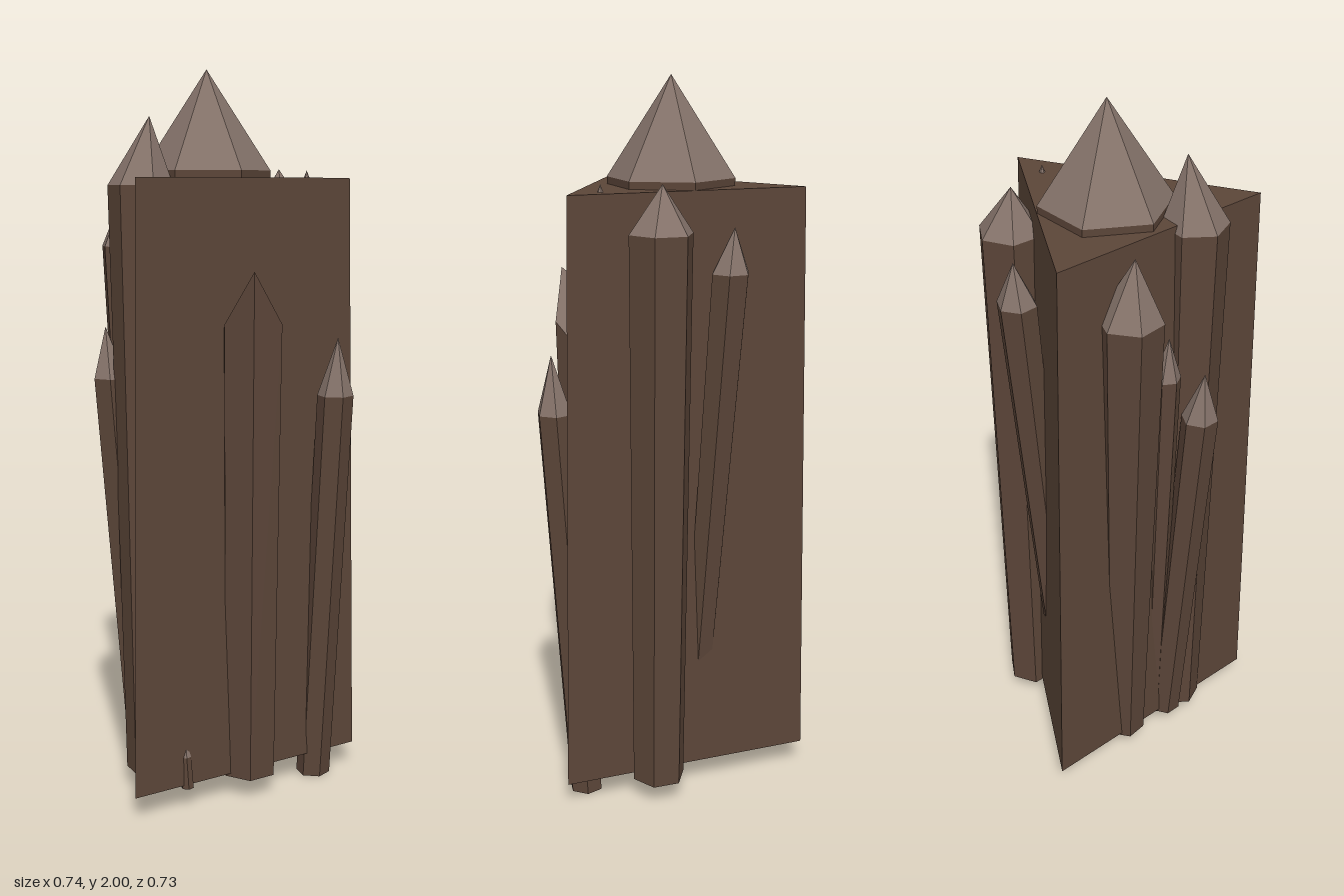
import * as THREE from 'three';

const rock = new THREE.MeshStandardMaterial({ color: 0x5c4639 });
rock.name = 'dark brown rock';
const tipStone = new THREE.MeshStandardMaterial({ color: 0x85736a });
tipStone.name = 'pale tip stone';

function flatMesh(points, material, name) {
  const geometry = new THREE.BufferGeometry().setFromPoints(points);
  geometry.computeVertexNormals();
  const mesh = new THREE.Mesh(geometry, material);
  mesh.name = name;
  return mesh;
}

// Six-sided leaning crystal: base ring, shoulder ring, pointed tip.
// lift optionally raises each shoulder corner.
function crystal({ name, base, shoulder, tip, r0, r1, turn = 0, lift = [0, 0, 0, 0, 0, 0] }) {
  const ring = (c, r, rise) => rise.map((dy, i) => {
    const a = turn + i * Math.PI / 3;
    return new THREE.Vector3(c[0] + r * Math.cos(a), c[1] + dy, c[2] + r * Math.sin(a));
  });
  const low = ring(base, r0, [0, 0, 0, 0, 0, 0]);
  const high = ring(shoulder, r1, lift);
  const foot = new THREE.Vector3(...base);
  const apex = new THREE.Vector3(...tip);
  const shaft = [];
  const cap = [];
  for (let i = 0; i < 6; i++) {
    const j = (i + 1) % 6;
    shaft.push(low[i], high[i], low[j], low[j], high[i], high[j], low[i], low[j], foot);
    cap.push(high[i], apex, high[j]);
  }
  const group = new THREE.Group();
  group.name = name;
  group.add(flatMesh(shaft, rock, 'shaft'), flatMesh(cap, tipStone, 'tip'));
  return group;
}

export function createModel() {
  const model = new THREE.Group();
  model.name = 'crystalCluster';

  // Tapered triangular pillar
  const prism = new THREE.CylinderGeometry(0.388, 0.42, 1.64, 3, 1, false, Math.PI / 2).toNonIndexed();
  prism.computeVertexNormals();
  const pillar = new THREE.Mesh(prism, rock);
  pillar.name = 'pillar';
  pillar.position.set(-0.05, 0.89, 0);
  model.add(pillar);

  const crystals = [
    { name: 'mainCrystal', base: [-0.05, 0.055, 0], shoulder: [-0.055, 1.73, -0.023], tip: [-0.055, 2, -0.023],
      r0: 0.13, r1: 0.176 },
    { name: 'leftFrontCrystal', base: [-0.225, 0.06, 0.13], shoulder: [-0.235, 1.69, 0.115], tip: [-0.21, 1.87, 0.105],
      r0: 0.065, r1: 0.088, turn: 0.1 },
    // Chisel-topped crystal on the front face
    { name: 'frontCrystal', base: [0.055, 0.06, 0.165], shoulder: [0.06, 1.3, 0.19], tip: [0.055, 1.42, 0.18],
      r0: 0.078, r1: 0.088, turn: Math.PI / 6, lift: [0.03, 0.17, 0.03, -0.03, -0.02, -0.04] },
    { name: 'rightSmallCrystal', base: [0.25, 0, 0.04], shoulder: [0.295, 1.12, 0.095], tip: [0.3, 1.28, 0.1],
      r0: 0.048, r1: 0.05, turn: 0.2 },
    { name: 'leftSmallCrystal', base: [-0.245, 0.06, 0.06], shoulder: [-0.323, 1.17, 0.075], tip: [-0.335, 1.31, 0.075],
      r0: 0.045, r1: 0.05, turn: 0.5 },
    { name: 'leftBackCrystal', base: [-0.225, 0.06, -0.09], shoulder: [-0.272, 1.52, -0.13], tip: [-0.28, 1.69, -0.125],
      r0: 0.06, r1: 0.086, turn: 0.4 },
    { name: 'leftSliverCrystal', base: [-0.225, 0.06, 0.02], shoulder: [-0.27, 1.3, 0], tip: [-0.275, 1.42, 0],
      r0: 0.03, r1: 0.038 },
    { name: 'backCrystal', base: [0.15, 0.06, -0.15], shoulder: [0.162, 1.61, -0.165], tip: [0.155, 1.735, -0.163],
      r0: 0.075, r1: 0.088, turn: 0.55 },
    { name: 'backSmallCrystal', base: [-0.01, 0.2, -0.155], shoulder: [0.003, 1.5, -0.27], tip: [0, 1.62, -0.28],
      r0: 0.04, r1: 0.054, turn: 0.45 },
    { name: 'frontNub', base: [-0.12, 0.06, 0.275], shoulder: [-0.125, 0.15, 0.275], tip: [-0.125, 0.2, 0.275],
      r0: 0.018, r1: 0.016, turn: 0.3 },
    { name: 'topNub', base: [0.22, 1.5, -0.01], shoulder: [0.22, 1.7, -0.01], tip: [0.22, 1.73, -0.01],
      r0: 0.012, r1: 0.012 },
  ];
  for (const spec of crystals) model.add(crystal(spec));
  return model;
}
